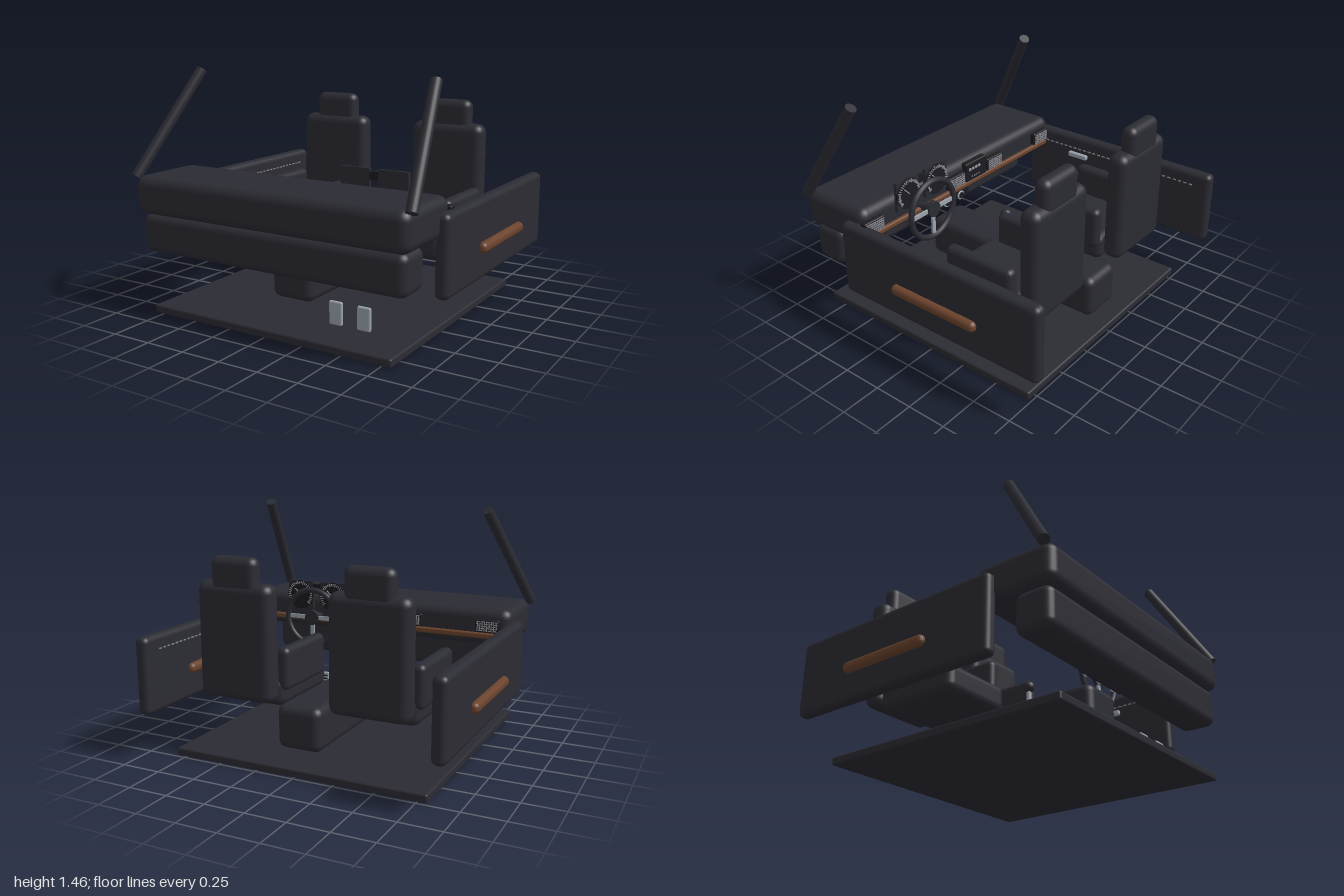
import * as THREE from 'three';
import { RoundedBoxGeometry } from 'three/addons/geometries/RoundedBoxGeometry.js';

const mat = (name, color) => {
  const m = new THREE.MeshStandardMaterial({ color });
  m.name = name;
  return m;
};

export function createModel() {
  const root = new THREE.Group();
  root.name = 'carInterior';
  const trim = mat('charcoal trim', 0x2b2b33);
  const black = mat('black plastic', 0x1c1c21);
  const wood = mat('brown wood', 0x6b432d);
  const metal = mat('light metal', 0x9aa4ad);
  const thread = mat('grey thread', 0x85858c);

  const add = (parent, name, geo, material, x = 0, y = 0, z = 0) => {
    const m = new THREE.Mesh(geo, material);
    m.name = name;
    m.position.set(x, y, z);
    parent.add(m);
    return m;
  };
  // rounded box given by its limits on each axis
  const block = (parent, name, [x0, x1], [y0, y1], [z0, z1], r, material = trim) =>
    add(parent, name, new RoundedBoxGeometry(x1 - x0, y1 - y0, z1 - z0, 3, r), material,
      (x0 + x1) / 2, (y0 + y1) / 2, (z0 + z1) / 2);
  const plate = (parent, name, w, h, d, material, x, y, z) =>
    add(parent, name, new THREE.BoxGeometry(w, h, d), material, x, y, z);
  // round bar between two points
  const rod = (parent, name, a, b, r, material) => {
    const p = new THREE.Vector3(...a), q = new THREE.Vector3(...b), d = q.clone().sub(p);
    const m = add(parent, name, new THREE.CylinderGeometry(r, r, d.length(), 20), material);
    m.position.copy(p).add(q).multiplyScalar(0.5);
    m.quaternion.setFromUnitVectors(new THREE.Vector3(0, 1, 0), d.normalize());
    return m;
  };

  // floor, console and dashboard
  block(root, 'floor', [-0.81, 0.81], [0, 0.05], [-0.735, 0.865], 0.012);
  block(root, 'centreConsole', [-0.14, 0.14], [0.14, 0.405], [-0.685, 0.595], 0.05);
  block(root, 'upperDashboard', [-0.91, 0.91], [0.605, 0.838], [0.395, 0.895], 0.06);
  block(root, 'lowerDashboard', [-0.885, 0.885], [0.37, 0.61], [0.635, 0.865], 0.05);
  block(root, 'dashboardStrip', [-0.85, 0.85], [0.652, 0.688], [0.37, 0.4], 0.012, wood);

  // gear lever
  rod(root, 'gearLever', [0, 0.39, 0.065], [0, 0.53, 0.065], 0.014, metal);
  add(root, 'gearKnob', new THREE.SphereGeometry(0.036, 24, 16), trim, 0, 0.55, 0.065);

  // seats
  for (const x of [-0.425, 0.427]) {
    const seat = new THREE.Group();
    seat.name = 'seat';
    seat.position.x = x;
    root.add(seat);
    block(seat, 'seatCushion', [-0.245, 0.245], [0.33, 0.5], [-0.53, 0.025], 0.05);
    block(seat, 'seatBack', [-0.247, 0.247], [0.38, 1.08], [-0.675, -0.543], 0.055);
    block(seat, 'headrest', [-0.152, 0.152], [1.02, 1.23], [-0.67, -0.568], 0.048);
    for (const s of [-1, 1])
      block(seat, 'sideBolster', [s * 0.235 - 0.04, s * 0.235 + 0.04], [0.43, 0.69], [-0.52, -0.045], 0.035);
  }

  // doors with wooden rail, pull handle and stitching
  for (const s of [-1, 1]) {
    const door = new THREE.Group();
    door.name = s > 0 ? 'leftDoor' : 'rightDoor';
    root.add(door);
    const span = (a, b) => (s > 0 ? [a, b] : [-b, -a]);
    block(door, 'doorPanel', span(0.877, 0.963), [0.283, 0.757], [-0.9, 0.535], 0.035);
    block(door, 'doorRail', span(0.843, 1), [0.448, 0.512], [-0.5, 0.112], 0.028, wood);
    block(door, 'doorHandle', span(0.848, 0.88), [0.61, 0.645], [0.03, 0.18], 0.01, metal);
    for (let i = 0; i < 30; i++)
      plate(door, 'doorStitch', 0.008, 0.007, 0.022, thread, s * 0.875, 0.672, -0.77 + i * 0.0395);
  }

  // windscreen pillars
  rod(root, 'rightPillar', [-0.918, 0.825, 0.86], [-0.718, 1.445, 0.475], 0.034, trim);
  rod(root, 'leftPillar', [0.912, 0.825, 0.86], [0.845, 1.445, 0.475], 0.034, trim);

  // air vents with crossed slats
  for (const x of [-0.77, -0.255, 0.12, 0.84]) {
    const vent = new THREE.Group();
    vent.name = 'airVent';
    vent.position.set(x, 0.735, 0.375);
    root.add(vent);
    block(vent, 'ventFrame', [-0.078, 0.078], [-0.042, 0.042], [-0.012, 0.035], 0.01, black);
    for (let i = -2; i <= 2; i++)
      plate(vent, 'ventSlat', 0.136, 0.004, 0.008, thread, 0, i * 0.014, -0.014);
    for (let i = -4; i <= 4; i++)
      plate(vent, 'ventFin', 0.004, 0.064, 0.008, thread, i * 0.015, 0, -0.014);
  }

  // centre screen with small indicator marks
  block(root, 'centreScreen', [-0.168, 0.035], [0.69, 0.82], [0.362, 0.41], 0.01, black);
  for (let i = 0; i < 4; i++) {
    plate(root, 'screenMark', 0.018, 0.018, 0.004, metal, 0.0 - i * 0.03, 0.775, 0.361);
    plate(root, 'screenDot', 0.01, 0.008, 0.004, thread, -0.02 - i * 0.022, 0.72, 0.361);
  }

  // climate panel with ring knobs
  block(root, 'climatePanel', [-0.22, 0.22], [0.437, 0.62], [0.568, 0.605], 0.015, black);
  for (const x of [-0.12, 0.02, 0.16]) {
    add(root, 'climateKnobRing', new THREE.TorusGeometry(0.026, 0.006, 8, 24), metal, x, 0.475, 0.557);
    const knob = add(root, 'climateKnob', new THREE.CylinderGeometry(0.022, 0.022, 0.03, 20), black, x, 0.475, 0.562);
    knob.rotation.x = Math.PI / 2;
  }

  // instrument cluster: two dials with tick marks and needles
  for (const x of [0.31, 0.555]) {
    const dial = new THREE.Group();
    dial.name = 'instrumentDial';
    dial.position.set(x, 0.832, 0.372);
    root.add(dial);
    plate(dial, 'dialBacking', 0.19, 0.19, 0.022, trim, 0, 0, 0.008);
    const face = add(dial, 'dialFace', new THREE.CylinderGeometry(0.098, 0.098, 0.012, 40), black, 0, 0, -0.004);
    face.rotation.x = Math.PI / 2;
    for (let i = 0; i < 28; i++) {
      const a = -0.7 + (i / 27) * (Math.PI + 1.4);
      const long = i % 3 === 0 ? 0.024 : 0.014;
      const tick = plate(dial, 'dialTick', long, 0.006, 0.008, thread,
        Math.cos(a) * 0.083, Math.sin(a) * 0.083, -0.012);
      tick.rotation.z = a;
    }
    const needle = plate(dial, 'dialNeedle', 0.06, 0.005, 0.006, metal, 0.02, 0.02, -0.013);
    needle.rotation.z = Math.PI / 4;
  }
  plate(root, 'clusterBridge', 0.06, 0.05, 0.02, black, 0.432, 0.885, 0.378);

  // steering wheel
  const wheel = new THREE.Group();
  wheel.name = 'steeringWheel';
  wheel.position.set(0.427, 0.695, 0.297);
  root.add(wheel);
  add(wheel, 'wheelRim', new THREE.TorusGeometry(0.187, 0.019, 12, 48), trim);
  const hub = add(wheel, 'wheelHub', new THREE.CylinderGeometry(0.05, 0.05, 0.035, 28), trim);
  hub.rotation.x = Math.PI / 2;
  for (const a of [0, Math.PI, -Math.PI / 2]) {
    const spoke = plate(wheel, 'wheelSpoke', 0.14, 0.026, 0.014, metal, Math.cos(a) * 0.11, Math.sin(a) * 0.11, 0);
    spoke.rotation.z = a;
  }
  rod(root, 'steeringColumn', [0.427, 0.695, 0.3], [0.427, 0.68, 0.45], 0.028, trim);

  // pedals with raised ribs
  for (const x of [0.342, 0.523]) {
    block(root, 'pedal', [x - 0.042, x + 0.042], [0.076, 0.214], [0.633, 0.655], 0.009, metal);
    for (let i = 0; i < 5; i++)
      plate(root, 'pedalRib', 0.064, 0.008, 0.008, black, x, 0.1 + i * 0.0225, 0.632);
  }
  return root;
}
